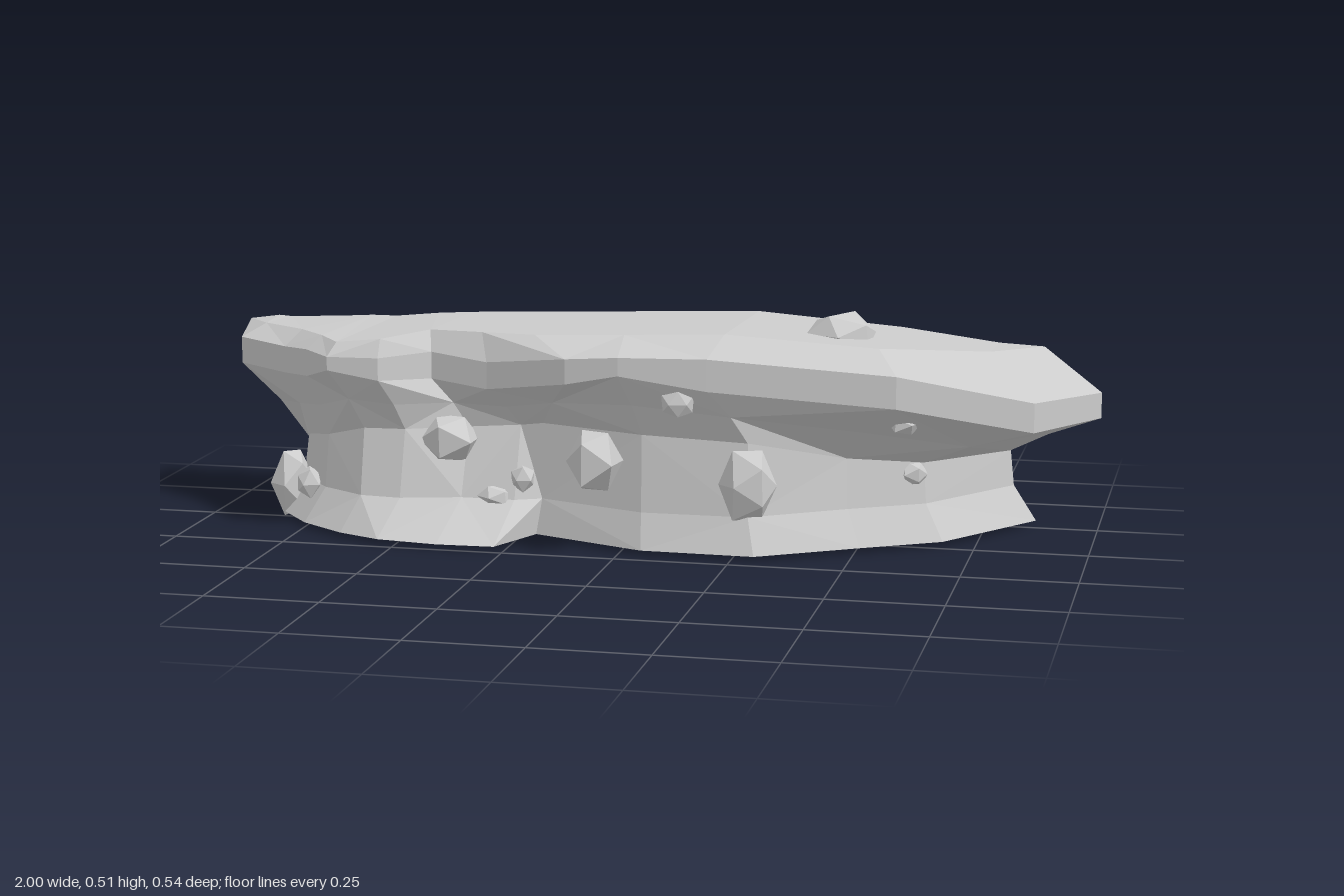
import * as THREE from 'three';

const BACK = -0.277;

// Stations along the cliff, from its -x end to its +x end.
// Top rim x, z, y | lip x, z, upper y, lower y
const RIM = [
  [-0.93, BACK, 0.43, -1.0, BACK, 0.42, 0.30],
  [-0.90, -0.10, 0.44, -0.95, -0.07, 0.41, 0.35],
  [-0.78, 0.00, 0.445, -0.81, 0.035, 0.41, 0.35],
  [-0.70, 0.10, 0.45, -0.73, 0.12, 0.42, 0.36],
  [-0.64, 0.18, 0.45, -0.655, 0.205, 0.42, 0.39],
  [-0.54, 0.18, 0.46, -0.54, 0.20, 0.42, 0.37],
  [-0.46, 0.06, 0.465, -0.45, 0.09, 0.42, 0.36],
  [-0.33, 0.10, 0.47, -0.31, 0.14, 0.41, 0.35],
  [-0.20, 0.14, 0.475, -0.11, 0.235, 0.44, 0.385],
  [0.00, 0.14, 0.482, 0.01, 0.25, 0.45, 0.41],
  [0.22, 0.135, 0.49, 0.20, 0.23, 0.45, 0.38],
  [0.55, 0.10, 0.465, 0.60, 0.185, 0.42, 0.35],
  [0.77, -0.08, 0.437, 0.88, 0.05, 0.35, 0.285],
  [0.87, BACK, 0.42, 1.0, BACK, 0.32, 0.262],
];

// Wall foot x, z | wall top y | how far the wall top lies behind the foot
const WALL = [
  [-0.89, BACK, 0.16, 0],
  [-0.86, -0.07, 0.18, 0.02],
  [-0.83, 0.00, 0.20, 0.02],
  [-0.75, 0.10, 0.22, 0.03],
  [-0.64, 0.18, 0.25, 0.05],
  [-0.54, 0.225, 0.25, 0.10],
  [-0.40, 0.245, 0.25, 0.18],
  [-0.27, 0.24, 0.26, 0.17],
  [-0.21, 0.10, 0.27, 0.01],
  [0.05, 0.205, 0.27, 0.03],
  [0.30, 0.21, 0.26, 0.04],
  [0.51, 0.08, 0.21, 0.04],
  [0.68, -0.02, 0.19, 0.03],
  [0.86, BACK, 0.18, 0],
];

const material = new THREE.MeshStandardMaterial({
  color: 0xcccccc, flatShading: true, side: THREE.DoubleSide,
});

// One profile from the back of the plateau, over the lip and down the wall
function profile([tx, tz, ty, lx, lz, hi, lo], station) {
  const [wx, wz, wy, recess] = WALL[station];
  const topX = wx * 0.93, topZ = wz - recess;
  return [
    [tx, ty - (tz === BACK ? 0 : 0.012), BACK],
    [tx, ty, tz],
    [lx, hi, lz],
    [lx, lo, lz],
    [lx * 0.42 + topX * 0.58, (lo + wy) / 2, lz * 0.42 + topZ * 0.58],
    [topX, wy, topZ],
    [wx * 0.94, 0.1, wz - recess * 0.7],
    [wx, 0.02, wz],
  ];
}

// Join rows first..last of the profiles into an open faceted skin
function skin(name, first, last) {
  const rows = RIM.map((rim, i) => profile(rim, i).slice(first, last + 1));
  const n = last - first + 1;
  const index = [];
  for (let i = 0; i < rows.length - 1; i++) {
    for (let j = 0; j < n - 1; j++) {
      const a = i * n + j, b = a + 1, d = a + n, c = d + 1;
      if ((i + j) % 2) index.push(a, b, c, a, c, d);
      else index.push(a, b, d, b, c, d);
    }
  }
  const geometry = new THREE.BufferGeometry();
  geometry.setAttribute('position', new THREE.Float32BufferAttribute(rows.flat(2), 3));
  geometry.setIndex(index);
  geometry.computeVertexNormals();
  const mesh = new THREE.Mesh(geometry, material);
  mesh.name = name;
  return mesh;
}

// Faceted boulder whose corners are pushed in or out by a repeatable rule
function boulder(name, x, y, z, rx, ry, rz, seed) {
  const geometry = new THREE.IcosahedronGeometry(1, 0);
  const p = geometry.attributes.position;
  const up = new THREE.Vector3(0, 1, 0);
  const v = new THREE.Vector3();
  for (let i = 0; i < p.count; i++) {
    v.fromBufferAttribute(p, i);
    const k = 1.03 + 0.1 * Math.sin(v.x * 5.1 + v.y * 7.3 + v.z * 3.7 + seed * 2.4);
    v.multiplyScalar(k).applyAxisAngle(up, seed);
    p.setXYZ(i, v.x * rx, v.y * ry, v.z * rz);
  }
  geometry.computeVertexNormals();
  const mesh = new THREE.Mesh(geometry, material);
  mesh.position.set(x, y, z);
  mesh.name = name;
  return mesh;
}

export function createModel() {
  const cliff = new THREE.Group();
  cliff.name = 'rockCliff';

  cliff.add(skin('plateau', 0, 1));
  cliff.add(skin('overhangingLip', 1, 5));
  cliff.add(skin('cliffWall', 5, 7));

  // Boulders set into the wall and the lip: x, y, z, radii
  const stones = [
    [-0.82, 0.085, -0.03, 0.045, 0.088, 0.055],
    [-0.755, 0.10, 0.04, 0.033, 0.035, 0.04],
    [-0.41, 0.225, 0.08, 0.07, 0.062, 0.07],
    [-0.30, 0.105, 0.105, 0.042, 0.026, 0.04],
    [-0.24, 0.145, 0.10, 0.029, 0.03, 0.03],
    [-0.05, 0.215, 0.205, 0.065, 0.08, 0.065],
    [0.28, 0.17, 0.175, 0.068, 0.08, 0.04],
    [0.135, 0.35, 0.22, 0.038, 0.034, 0.02],
    [0.605, 0.305, 0.095, 0.037, 0.027, 0.035],
    [0.61, 0.165, -0.045, 0.033, 0.03, 0.028],
  ];
  stones.forEach((s, i) => cliff.add(boulder('wallBoulder' + (i + 1), ...s, i + 1)));

  // Flat boulder half sunk in the plateau
  cliff.add(boulder('plateauBoulder', 0.445, 0.472, -0.05, 0.085, 0.046, 0.07, 4.2));
  return cliff;
}
